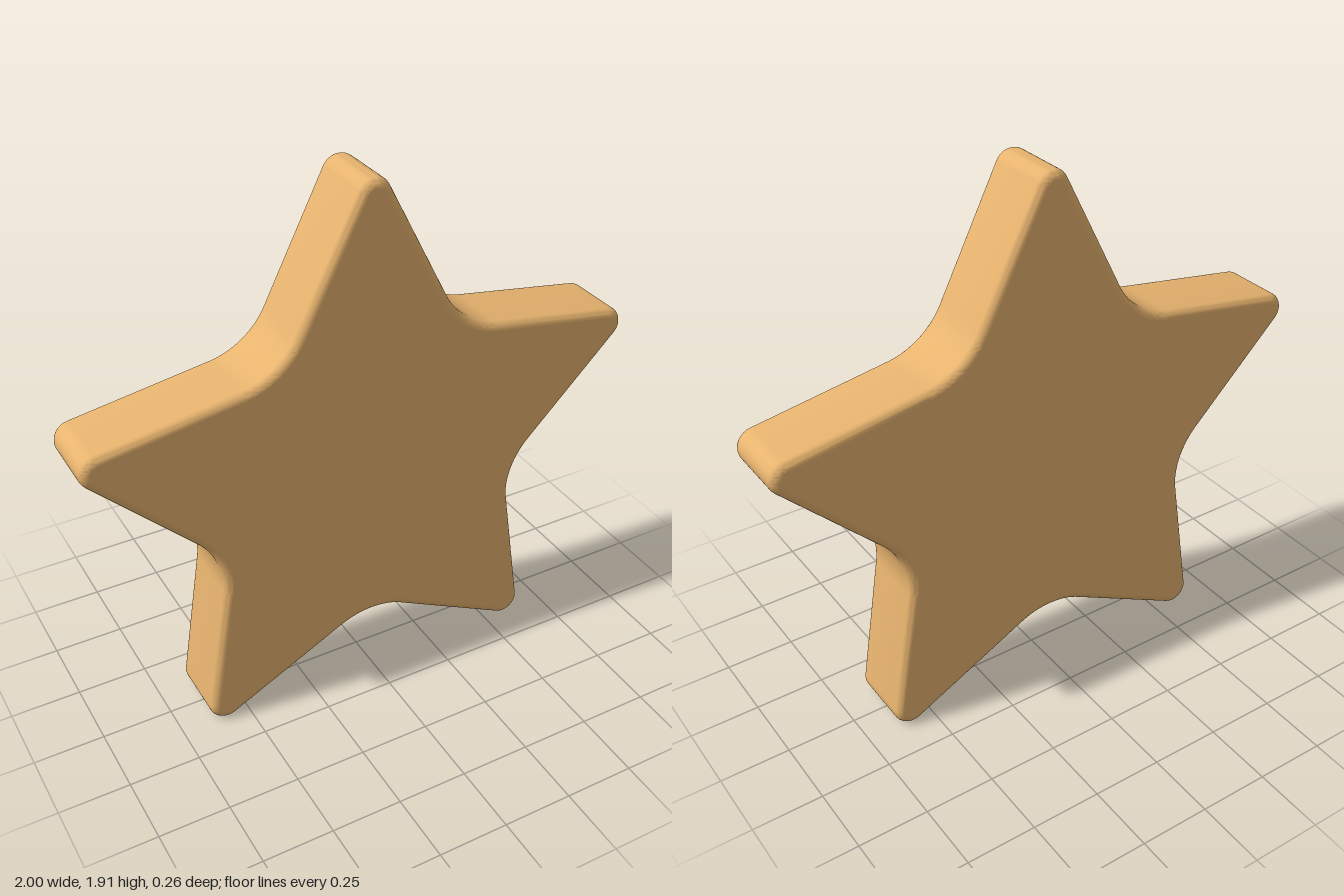
import * as THREE from 'three';
import { toCreasedNormals } from 'three/addons/utils/BufferGeometryUtils.js';

const rad = THREE.MathUtils.degToRad;

// Five-armed outline: rounded tips joined by straight edges to rounded valleys
function starShape() {
  const tipRadius = 0.0625, tipDistance = 0.9857, valleyRadius = 0.27;
  const half = rad(27);            // half angle of an arm
  const turn = rad(54) - half;     // half angle swept by a valley
  const edge = tipRadius + tipDistance * Math.sin(half);
  const valleyDistance = (edge + valleyRadius) / Math.cos(turn);
  const sweep = Math.PI / 2 - half;
  const shape = new THREE.Shape();
  for (let i = 0; i < 5; i++) {
    const t = rad(90 + 72 * i), v = t + rad(36);
    shape.absarc(tipDistance * Math.cos(t), tipDistance * Math.sin(t),
      tipRadius, t - sweep, t + sweep, false);
    shape.absarc(valleyDistance * Math.cos(v), valleyDistance * Math.sin(v),
      valleyRadius, v + Math.PI + turn, v + Math.PI - turn, true);
  }
  return shape;
}

export function createModel() {
  const depth = 0.26, bevel = 0.03;

  // Thick slab with softly rounded rims
  const slab = new THREE.ExtrudeGeometry(starShape(), {
    depth: depth - 2 * bevel, curveSegments: 14,
    bevelEnabled: true, bevelThickness: bevel, bevelSize: bevel,
    bevelOffset: -bevel, bevelSegments: 6,
  });
  slab.translate(0, 0, bevel - depth / 2);
  const geometry = toCreasedNormals(slab, 0.6);

  // Keep the two large faces perfectly flat-shaded
  const { start, count } = slab.groups[0];
  const { position, normal } = geometry.attributes;
  for (let i = start; i < start + count; i++) {
    normal.setXYZ(i, 0, 0, Math.sign(position.getZ(i)));
  }
  geometry.clearGroups();

  const star = new THREE.Mesh(geometry, new THREE.MeshStandardMaterial({ color: 0xe8b46f }));
  star.name = 'star';
  star.position.y = 0.86;

  const model = new THREE.Group();
  model.name = 'roundedStar';
  model.add(star);
  return model;
}
